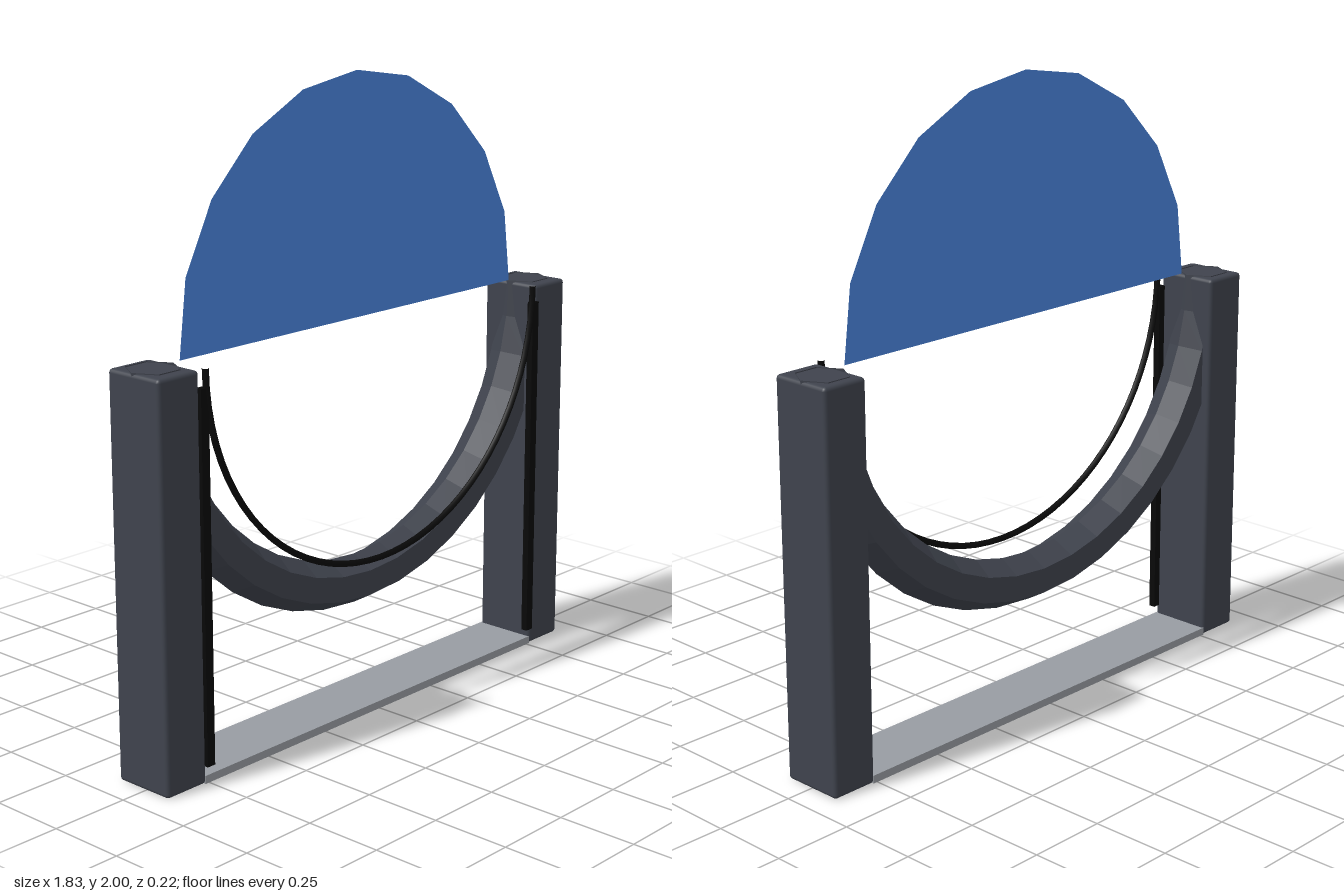
import * as THREE from 'three';
import { RoundedBoxGeometry } from 'three/addons/geometries/RoundedBoxGeometry.js';

const AXIS_Y = 1.245; // height of the arch centre
const MID_Z = -0.006; // middle of the frame depth

export function createModel() {
  const model = new THREE.Group();
  model.name = 'archFrame';

  const dark = new THREE.MeshStandardMaterial({ color: 0x3f434d });
  const darkFlat = new THREE.MeshStandardMaterial({ color: 0x3f434d, flatShading: true, side: THREE.DoubleSide });
  const black = new THREE.MeshStandardMaterial({ color: 0x080808 });
  const grey = new THREE.MeshStandardMaterial({ color: 0x989ca2 });
  const blue = new THREE.MeshStandardMaterial({ color: 0x4a86e0, side: THREE.DoubleSide });

  const add = (name, geometry, material, x, y, z) => {
    const mesh = new THREE.Mesh(geometry, material);
    mesh.name = name;
    mesh.position.set(x, y, z);
    model.add(mesh);
    return mesh;
  };

  // Side posts with softened edges, and the thin strips on their inner front edges
  for (const [side, s] of [['left', 1], ['right', -1]]) {
    add(side + 'Post', new RoundedBoxGeometry(0.155, 1.242, 0.207, 2, 0.012), dark, s * 0.8375, 0.621, MID_Z);
    add(side + 'Strip', new THREE.BoxGeometry(0.03, 1.135, 0.022), black, s * 0.75, 0.6225, 0.097);
  }

  // Floor plate between the posts
  add('basePlate', new THREE.BoxGeometry(1.53, 0.025, 0.207), grey, 0, 0.0125, MID_Z);

  // Hanging half ring with a six-sided section
  const arch = add('hangingArch', new THREE.TorusGeometry(0.835, 0.08, 6, 20, Math.PI), darkFlat, 0, AXIS_Y, MID_Z - 0.005);
  arch.rotation.z = Math.PI;

  // Thin trim ring in front of the arch
  const trim = add('archTrim', new THREE.TorusGeometry(0.74, 0.01, 8, 40, Math.PI), black, 0, AXIS_Y, 0.101);
  trim.rotation.z = Math.PI;

  // Flat half-disc panel on top, ten straight edges round its rim
  const rim = [];
  for (let i = 0; i <= 10; i++) {
    const a = (i * Math.PI) / 10;
    const r = i % 10 === 0 ? 0.742 : 0.75;
    rim.push(new THREE.Vector2(r * Math.cos(a), r * Math.sin(a)));
  }
  add('halfDiscPanel', new THREE.ShapeGeometry(new THREE.Shape(rim)), blue, 0, 1.25, 0);

  return model;
}
